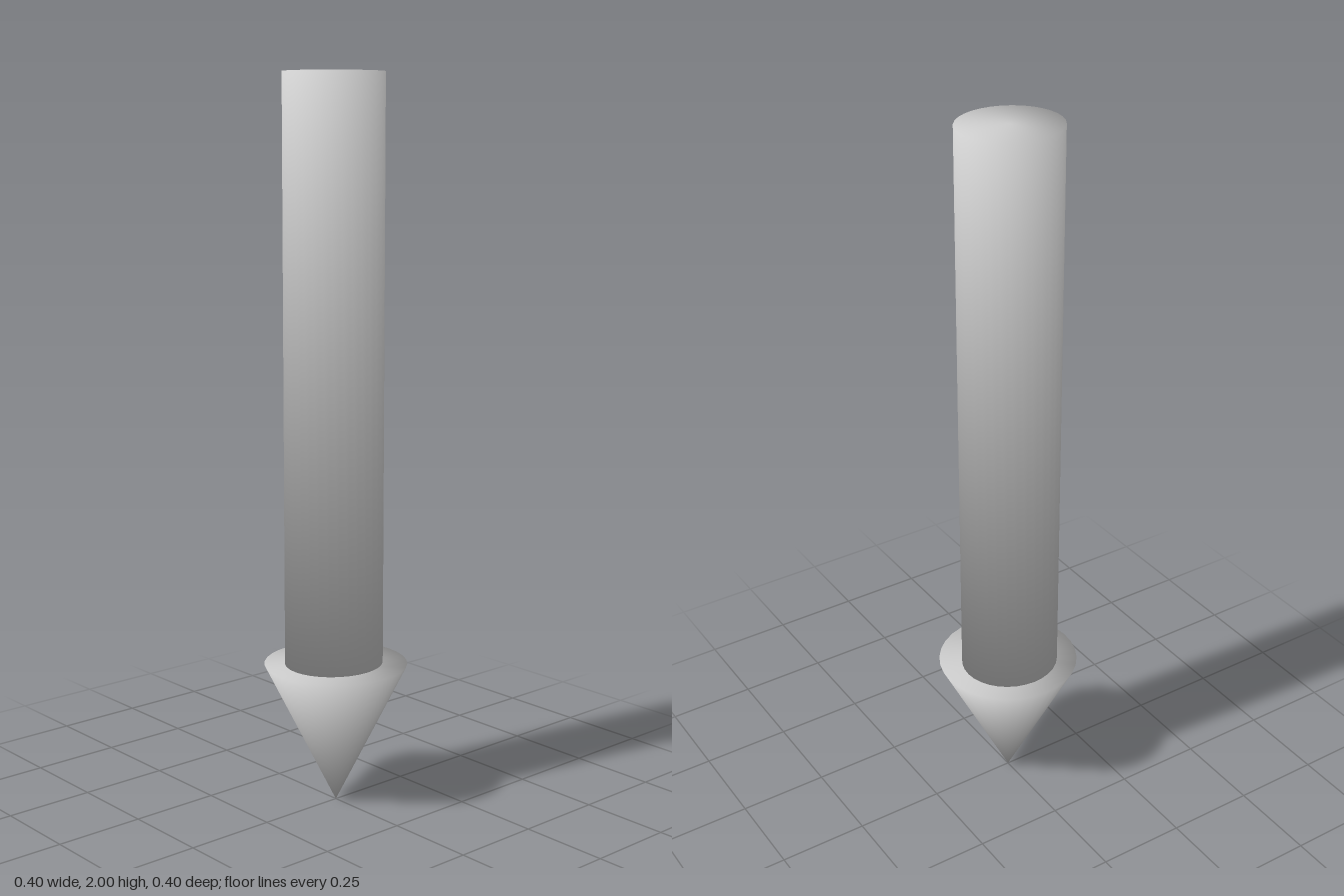
import * as THREE from 'three';

const SIDES = 32;

// Closed turned solid from [radius, height] points, softly shaded across its rims.
// Each rim normal is the even blend of the two surfaces that meet there.
function turned(name, profile) {
  const points = profile.map(([r, y]) => new THREE.Vector2(r, y));
  const slopes = points.slice(1).map((p, i) => {
    const d = p.clone().sub(points[i]);
    return new THREE.Vector2(d.y, -d.x).normalize();
  });
  const normals = points.map((p, i) => {
    if (i === 0) return new THREE.Vector2(0, -1);
    if (i === points.length - 1) return new THREE.Vector2(0, 1);
    return slopes[i - 1].clone().add(slopes[i]).normalize();
  });

  const geometry = new THREE.LatheGeometry(points, SIDES);
  const attribute = geometry.attributes.normal;
  for (let i = 0; i <= SIDES; i++) {
    const angle = (i / SIDES) * Math.PI * 2;
    normals.forEach((n, j) => {
      attribute.setXYZ(i * points.length + j, n.x * Math.sin(angle), n.y, n.x * Math.cos(angle));
    });
  }
  const mesh = new THREE.Mesh(geometry, new THREE.MeshStandardMaterial({ color: 0xcccccc }));
  mesh.name = name;
  return mesh;
}

export function createModel() {
  const model = new THREE.Group();
  model.name = 'downArrow';

  // Cone with a flat top, pointing down
  const head = turned('arrowHead', [[0, 0], [0.198, 0.4], [0, 0.4]]);

  // Slightly oval shaft, set a little towards the back
  const shaft = turned('shaft', [[0, 0.4], [0.139, 0.4], [0.139, 2], [0, 2]]);
  shaft.scale.z = 0.945;
  shaft.position.z = -0.008;

  model.add(head, shaft);
  return model;
}
